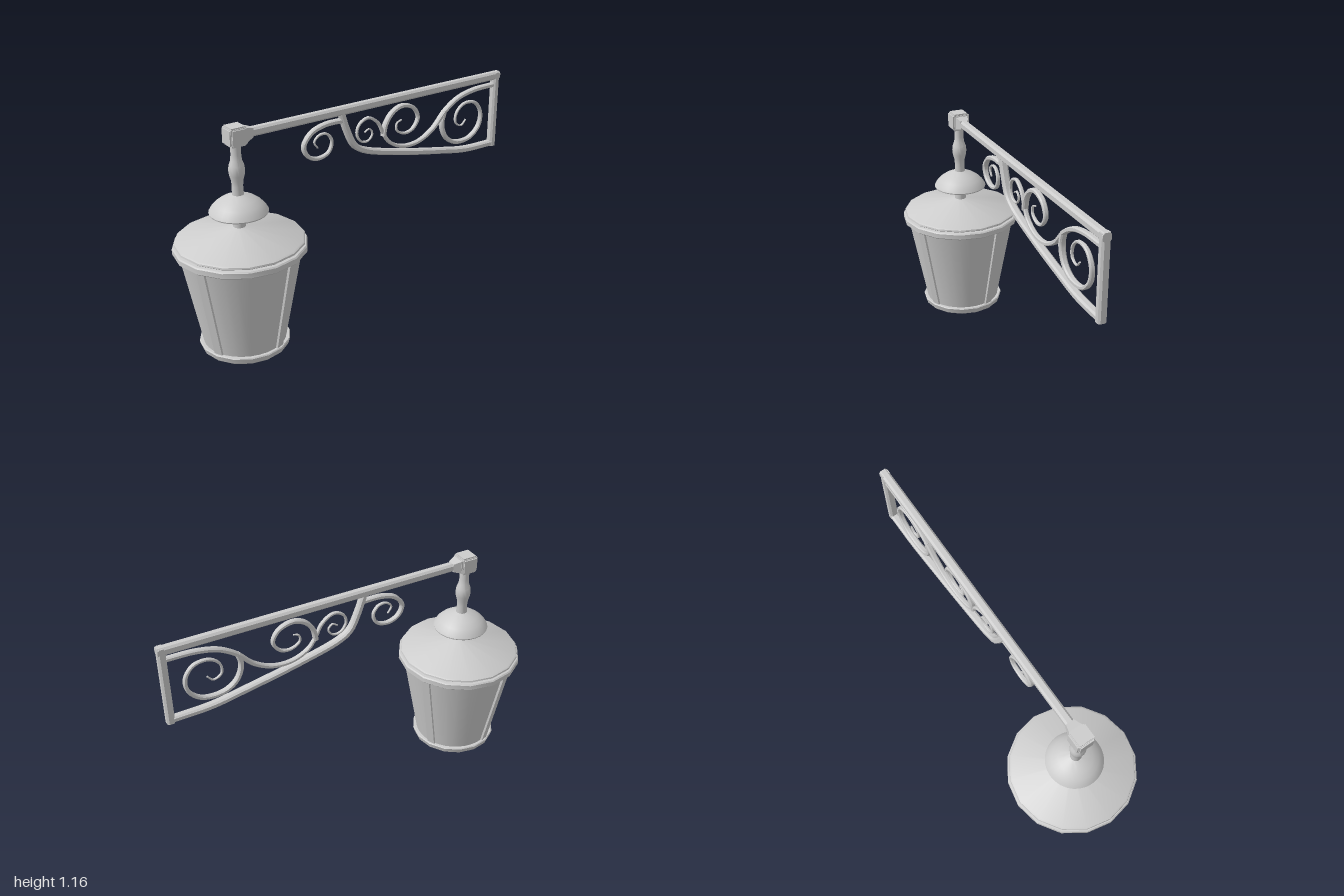
import * as THREE from 'three';
import { toCreasedNormals } from 'three/addons/utils/BufferGeometryUtils.js';

const material = new THREE.MeshStandardMaterial({ color: 0xcccccc });
const LAMP_Z = 0.67;

function add(parent, name, geometry, x = 0, y = 0, z = 0) {
  const mesh = new THREE.Mesh(geometry, material);
  mesh.name = name;
  mesh.position.set(x, y, z);
  parent.add(mesh);
  return mesh;
}

// Turned part from [radius, height] pairs, bottom to top
function turned(profile, sides) {
  const points = profile.map(([r, y]) => new THREE.Vector2(r, y));
  return toCreasedNormals(new THREE.LatheGeometry(points, sides), 0.5);
}

// Chamfered bar swept along [z, y] points in the x = 0 plane, thinning towards its end
function bar(points, halfWidth, halfThick, steps, endScale = 1) {
  const curve = new THREE.CatmullRomCurve3(points.map(([z, y]) => new THREE.Vector3(0, y, z)), false, 'centripetal');
  const k = 0.55;
  const section = [[1, -k], [1, k], [k, 1], [-k, 1], [-1, k], [-1, -k], [-k, -1], [k, -1]];
  const n = section.length, pos = [], index = [];
  for (let i = 0; i <= steps; i++) {
    const t = i / steps;
    const p = curve.getPointAt(t), d = curve.getTangentAt(t);
    const s = 1 + (endScale - 1) * t * t;
    for (const [v, u] of section) {
      const w = u * halfThick * s;
      pos.push(v * halfWidth * s, p.y + d.z * w, p.z - d.y * w);
    }
  }
  for (let i = 0; i < steps; i++) {
    for (let j = 0; j < n; j++) {
      const a = i * n + j, b = i * n + (j + 1) % n;
      index.push(a, b, a + n, b, b + n, a + n);
    }
  }
  // End caps
  const last = steps * n;
  for (let j = 1; j < n - 1; j++) index.push(0, j + 1, j, last, last + j, last + j + 1);
  const geometry = new THREE.BufferGeometry();
  geometry.setAttribute('position', new THREE.Float32BufferAttribute(pos, 3));
  geometry.setIndex(index);
  return toCreasedNormals(geometry, 0.5);
}

function createLantern() {
  const lantern = new THREE.Group();
  lantern.name = 'lantern';
  lantern.position.z = LAMP_Z;

  add(lantern, 'bottomRim', turned([[0, 0], [0.213, 0], [0.222, 0.008], [0.23, 0.035], [0.226, 0.04], [0.19, 0.04]], 16));
  add(lantern, 'glassPanes', turned([[0.207, 0.03], [0.303, 0.54]], 32));
  add(lantern, 'topRim', turned([[0.29, 0.528], [0.322, 0.528], [0.33, 0.535], [0.33, 0.56], [0.324, 0.566], [0.29, 0.57]], 16));
  add(lantern, 'roof', turned([[0.29, 0.565], [0.312, 0.57], [0.32, 0.576], [0.318, 0.584],
    [0.31, 0.59], [0.035, 0.648], [0.026, 0.652]], 16));

  // Four slanted posts between the panes
  for (let i = 0; i < 4; i++) {
    const geometry = new THREE.BoxGeometry(0.046, 0.5, 0.03);
    const p = geometry.attributes.position;
    for (let j = 0; j < p.count; j++) {
      p.setZ(j, p.getZ(j) + (p.getY(j) > 0 ? 0.297 : 0.202));
    }
    geometry.computeVertexNormals();
    add(lantern, 'post', geometry, 0, 0.285, 0).rotation.y = Math.PI / 8 + i * Math.PI / 2;
  }

  // Hanger stem with a swelling, and the domed cap it passes through
  add(lantern, 'stem', turned([[0.031, 0.64], [0.031, 0.73], [0.029, 0.81], [0.027, 0.86], [0.03, 0.89], [0.037, 0.915],
    [0.04, 0.94], [0.037, 0.965], [0.028, 0.99], [0.025, 1.02], [0.025, 1.08]], 24));
  add(lantern, 'domedCap', turned([[0.028, 0.728], [0.143, 0.724], [0.145, 0.73], [0.135, 0.748], [0.115, 0.77],
    [0.085, 0.792], [0.05, 0.808], [0.027, 0.817]], 28));
  return lantern;
}

function createBracket() {
  const bracket = new THREE.Group();
  bracket.name = 'bracket';

  // Cube joint with a raised plate on every face
  const joint = new THREE.Group();
  joint.name = 'cubeJoint';
  joint.position.set(0, 1.112, LAMP_Z);
  add(joint, 'jointCore', new THREE.BoxGeometry(0.082, 0.082, 0.082));
  for (const axis of [0, 1, 2]) {
    const size = [0.074, 0.074, 0.074];
    size[axis] = 0.095;
    add(joint, 'jointPlate', new THREE.BoxGeometry(...size));
  }
  bracket.add(joint);

  // Flared collar, beam and wall bar
  const collar = new THREE.CylinderGeometry(0.036 * Math.SQRT2, 0.022 * Math.SQRT2, 0.045, 4, 1).toNonIndexed();
  collar.computeVertexNormals();
  collar.rotateY(Math.PI / 4).rotateX(Math.PI / 2);
  add(bracket, 'beamCollar', collar, 0, 1.112, 0.605);
  add(bracket, 'beam', bar([[0.62, 1.112], [-1, 1.112]], 0.022, 0.022, 1));
  add(bracket, 'wallBar', bar([[-0.98, 1.13], [-0.98, 0.70]], 0.022, 0.02, 1));

  add(bracket, 'lowerBrace', bar([[0.068, 1.1], [0.037, 1.01], [-0.01, 0.915], [-0.07, 0.875], [-0.285, 0.815],
    [-0.605, 0.75], [-0.77, 0.722], [-0.97, 0.716]], 0.021, 0.016, 40));

  // Scrollwork, each running from its root to the centre of its curl
  const scrolls = {
    frontScroll: [[0.05, 1.06], [0.17, 1.058], [0.25, 1.03], [0.293, 0.97], [0.27, 0.915], [0.21, 0.89], [0.145, 0.91],
      [0.125, 0.965], [0.155, 1.008], [0.2, 1.01], [0.23, 0.98], [0.21, 0.945]],
    mainScroll: [[-0.965, 1.06], [-0.82, 1.055], [-0.71, 1.03], [-0.62, 0.975], [-0.535, 0.89], [-0.435, 0.84],
      [-0.325, 0.838], [-0.24, 0.88], [-0.2, 0.935], [-0.165, 1.0], [-0.1, 1.04], [-0.045, 1.015],
      [-0.03, 0.965], [-0.06, 0.92], [-0.105, 0.917], [-0.13, 0.952], [-0.108, 0.98], [-0.08, 0.965]],
    middleScroll: [[-0.2, 0.92], [-0.215, 0.985], [-0.26, 1.04], [-0.325, 1.062], [-0.4, 1.035], [-0.43, 0.975],
      [-0.395, 0.92], [-0.34, 0.907], [-0.288, 0.935], [-0.29, 0.972], [-0.32, 0.985]],
    wallScroll: [[-0.615, 0.975], [-0.6, 0.905], [-0.63, 0.825], [-0.7, 0.78], [-0.81, 0.785], [-0.875, 0.845],
      [-0.882, 0.92], [-0.835, 0.982], [-0.755, 0.988], [-0.705, 0.945], [-0.702, 0.89], [-0.745, 0.867], [-0.775, 0.895]],
  };
  for (const [name, points] of Object.entries(scrolls)) {
    add(bracket, name, bar(points, 0.016, 0.012, 90, 0.3));
  }
  return bracket;
}

export function createModel() {
  const model = new THREE.Group();
  model.name = 'wallLantern';
  model.add(createLantern(), createBracket());
  return model;
}
